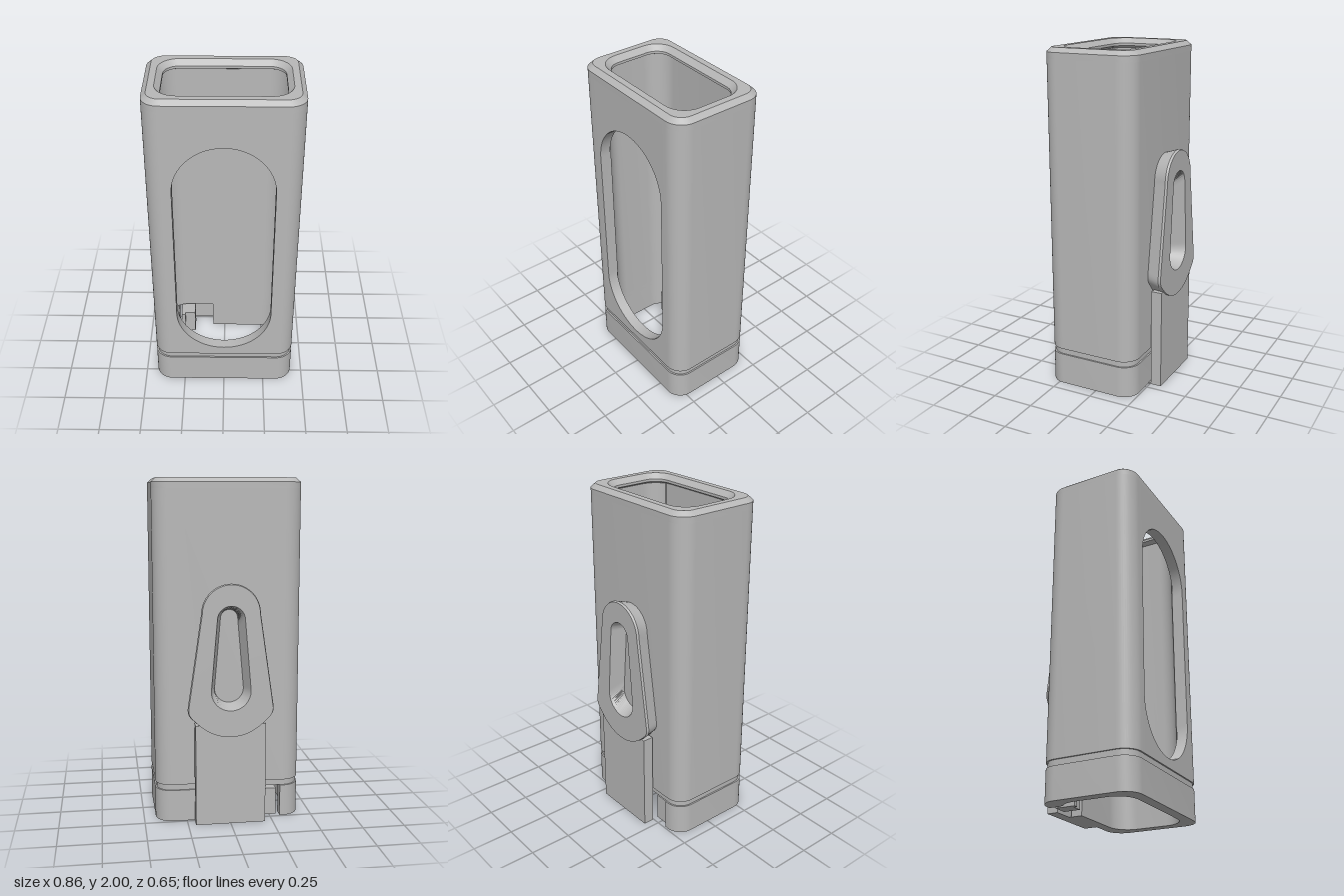
import * as THREE from 'three';
import { toCreasedNormals } from 'three/addons/utils/BufferGeometryUtils.js';

const BACK = -0.24, FRONT = 0.325, HALF = 0.43, WALL = 0.065;

// rounded rectangle in plan, inset from the outer wall: [x, z] points, 4 equal corners
function plan(inset, r, seg = 12) {
  const hx = HALF - inset, z0 = BACK + inset, z1 = FRONT - inset;
  const centres = [[hx - r, z1 - r], [r - hx, z1 - r], [r - hx, z0 + r], [hx - r, z0 + r]];
  return centres.map(([cx, cz], k) => Array.from({ length: seg + 1 }, (_, i) => {
    const a = (k + i / seg) * Math.PI / 2;
    return [cx + r * Math.cos(a), cz + r * Math.sin(a)];
  }));
}

// skin over a list of closed rings with equal point counts
function loft(rings) {
  const pos = [];
  for (let i = 0; i + 1 < rings.length; i++) {
    const n = rings[i].length;
    for (let j = 0; j < n; j++) {
      const k = (j + 1) % n;
      const a = rings[i][j], b = rings[i][k], c = rings[i + 1][k], d = rings[i + 1][j];
      pos.push(...a, ...d, ...c, ...a, ...c, ...b);
    }
  }
  const g = new THREE.BufferGeometry();
  g.setAttribute('position', new THREE.Float32BufferAttribute(pos, 3));
  return toCreasedNormals(g, 0.45);
}

const planLoft = (sections) => loft(sections.map(([inset, r, y]) =>
  plan(inset, r).flat().map(([x, z]) => [x, y, z])));

// wall with a gap on one long side, extruded between two heights
function openWall(firstCorner, xStart, xEnd, edge, y0, y1) {
  const lo = Math.min(xStart, xEnd), hi = Math.max(xStart, xEnd);
  const run = (inset, r) => {
    const c = plan(inset, r);
    const zEdge = edge > 0 ? FRONT - inset : BACK + inset;
    const pts = [0, 1, 2, 3].flatMap((i) => c[(firstCorner + i) % 4])
      .filter(([x, z]) => !(x > lo && x < hi && Math.sign(z) === edge));
    return [[xStart, zEdge], ...pts, [xEnd, zEdge]];
  };
  const outline = [...run(0, 0.1), ...run(WALL, 0.12).reverse()];
  const shape = new THREE.Shape(outline.map(([x, z]) => new THREE.Vector2(x, z)));
  const g = new THREE.ExtrudeGeometry(shape, { depth: y1 - y0, bevelEnabled: false });
  g.rotateX(Math.PI / 2).translate(0, y1, 0);
  return toCreasedNormals(g, 0.45);
}

// front panel pierced by a long rounded window
function frontPanel(y0, y1) {
  const s = new THREE.Shape();
  s.moveTo(-0.29, y0).lineTo(0.29, y0).lineTo(0.29, y1).lineTo(-0.29, y1);
  const r = 0.285, hole = new THREE.Path();
  hole.absarc(0, 1.73 - r, r, 0, Math.PI, false);
  hole.absarc(0, 0.28 + r, r, Math.PI, Math.PI * 2, false);
  hole.closePath();
  s.holes.push(hole);
  const g = new THREE.ExtrudeGeometry(s, { depth: WALL, bevelEnabled: false, curveSegments: 24 });
  return toCreasedNormals(g.translate(0, 0, FRONT - WALL), 0.45);
}

// clip outlines: narrow round top, wider base
function ring(shape, z) {
  shape.closePath();
  return shape.getSpacedPoints(120).slice(0, 120).map((p) => [p.x, p.y, z]);
}
function clipOuter(inset, z) {
  const r = 0.17 - inset, w = 0.25 - inset, s = new THREE.Path();
  s.absarc(0, 1.245, r, 0, Math.PI, false);
  s.lineTo(-w, 0.70);
  s.quadraticCurveTo(-w - 0.003, 0.66, -w + 0.03, 0.635);
  s.quadraticCurveTo(-0.12, 0.53, 0, 0.53);
  s.quadraticCurveTo(0.12, 0.53, w - 0.03, 0.635);
  s.quadraticCurveTo(w + 0.003, 0.66, w, 0.70);
  return ring(s, z);
}
function clipHole(inset, z) {
  const s = new THREE.Path();
  s.absarc(0, 1.21, 0.08 - inset, 0, Math.PI, false);
  s.absarc(0, 0.80, 0.115 - inset, Math.PI, Math.PI * 2, false);
  return ring(s, z);
}

export function createModel() {
  const group = new THREE.Group();
  const grey = new THREE.MeshStandardMaterial({ color: 0xb8b8b8 });
  grey.name = 'grey';
  const add = (name, geometry) => {
    const m = new THREE.Mesh(geometry, grey);
    m.name = name;
    group.add(m);
  };
  const box = (name, x0, x1, y0, y1, z0, z1) => add(name,
    new THREE.BoxGeometry(x1 - x0, y1 - y0, z1 - z0)
      .translate((x0 + x1) / 2, (y0 + y1) / 2, (z0 + z1) / 2));

  // sleeve
  add('sleeveWall', openWall(1, -0.29, 0.29, 1, 0.225, 1.94));
  add('windowPanel', frontPanel(0.225, 1.94));
  add('topLip', planLoft([
    [0, 0.1, 1.94], [0, 0.1, 1.975], [0.028, 0.075, 2], [WALL, 0.12, 2],
    [0.095, 0.09, 1.97], [0.095, 0.09, 1.955], [WALL, 0.12, 1.94]]));

  // recessed groove and base ring with a gap at the back
  add('groove', planLoft([
    [WALL, 0.12, 0.19], [0.009, 0.092, 0.19], [0.009, 0.092, 0.225],
    [WALL, 0.12, 0.225], [WALL, 0.12, 0.19]]));
  add('baseRing', openWall(3, -0.08, -0.31, -1, 0, 0.19));

  // latch standing in the gap
  box('latchPlate', -0.265, -0.2, 0, 0.165, -0.215, -0.115);
  box('latchHook', -0.29, -0.265, 0, 0.165, -0.215, -0.095);

  // back clip
  add('clipLoop', loft([
    clipOuter(0.025, BACK), clipOuter(0, -0.317), clipOuter(0.005, -0.33),
    clipHole(0, -0.33), clipHole(0.03, BACK)]));
  box('clipStrap', -0.205, 0.205, 0, 0.6, -0.32, -0.255);
  box('strapWeb', -0.07, 0.205, 0, 0.008, -0.26, -0.235);

  return group;
}
